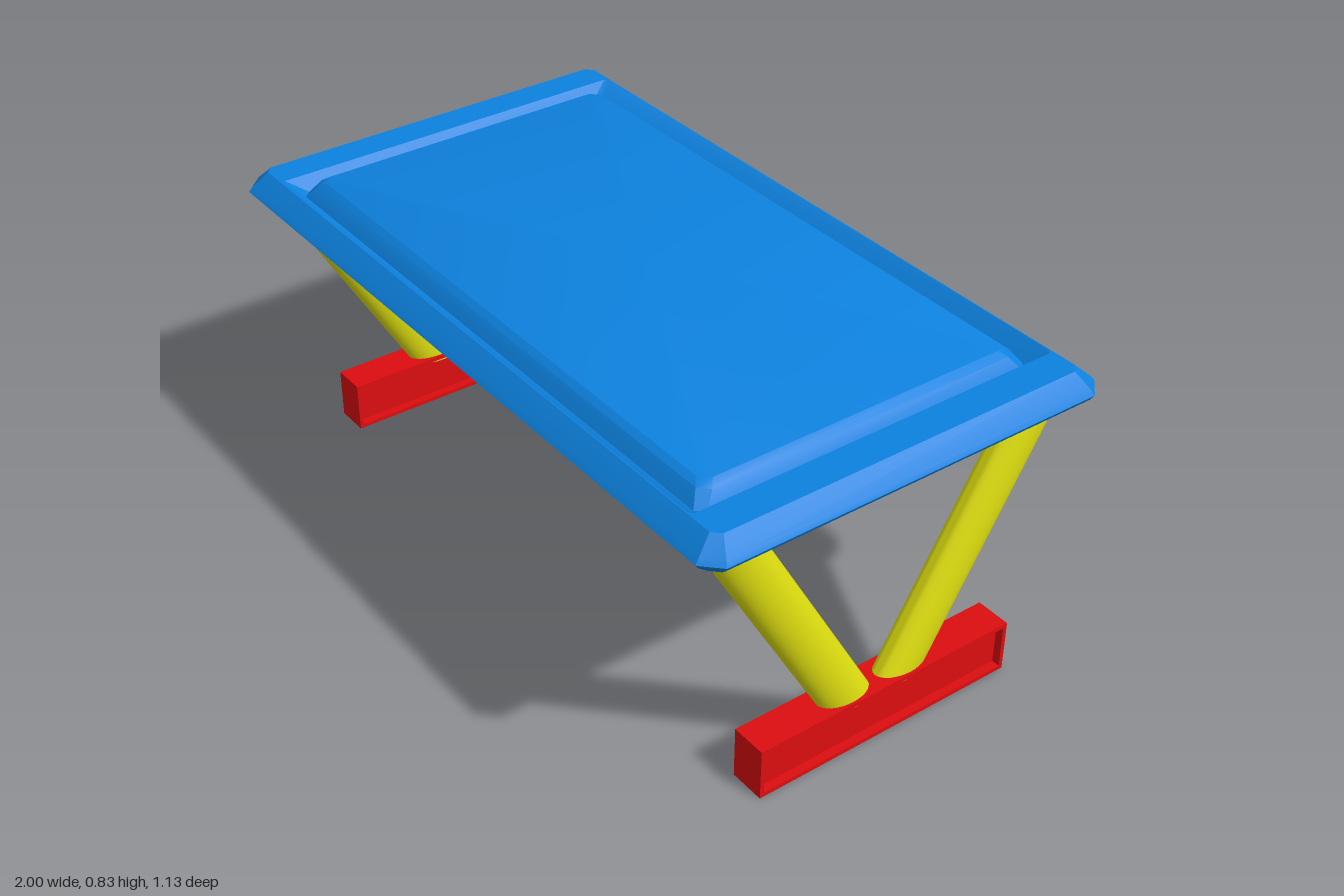
import * as THREE from 'three';
import { toCreasedNormals, mergeGeometries } from 'three/addons/utils/BufferGeometryUtils.js';

const blue = new THREE.MeshStandardMaterial({ color: 0x0d82df });
const yellow = new THREE.MeshStandardMaterial({ color: 0xdfdf10 });
const red = new THREE.MeshStandardMaterial({ color: 0xdd0d10 });

// Rectangle with cut corners, as a ring of eight points at height y
function cutRing([hx, hz, y, cut]) {
  return [
    [hx, hz - cut], [hx - cut, hz], [-hx + cut, hz], [-hx, hz - cut],
    [-hx, -hz + cut], [-hx + cut, -hz], [hx - cut, -hz], [hx, -hz + cut],
  ].map(([x, z]) => [x, y, z]);
}

// Skin stacked rings, listed from the bottom to the top centre
function loft(sections) {
  const rings = sections.map(cutRing);
  const pos = [];
  for (let i = 0; i < rings.length - 1; i++) {
    for (let k = 0; k < 8; k++) {
      const n = (k + 1) % 8;
      const a = rings[i][k], b = rings[i][n], c = rings[i + 1][k], d = rings[i + 1][n];
      if (i > 0) pos.push(...a, ...c, ...b);
      if (i < rings.length - 2) pos.push(...b, ...c, ...d);
    }
  }
  const geo = new THREE.BufferGeometry();
  geo.setAttribute('position', new THREE.Float32BufferAttribute(pos, 3));
  return toCreasedNormals(geo, 0.5);
}

// Oval strut leaning from the foot out to the underside of the top
function strutGeometry(side) {
  const y0 = 0.12, y1 = 0.75, lean = 0.34 / 0.585;
  const geo = new THREE.CylinderGeometry(1, 1, y1 - y0, 32);
  geo.scale(0.041, 1, 0.0745);
  geo.translate(0, (y0 + y1) / 2, 0);
  const p = geo.attributes.position;
  for (let i = 0; i < p.count; i++) {
    p.setZ(i, p.getZ(i) + side * (0.0875 + (p.getY(i) - 0.14) * lean));
  }
  return toCreasedNormals(geo, 0.7);
}

// Foot beam: a solid web with a raised frame on both long faces
function footGeometry() {
  const w = 0.095, h = 0.14, len = 0.75, t = 0.011, depth = 0.022;
  const parts = [new THREE.BoxGeometry(w - 2 * depth, h - 2 * t, len - 2 * t)];
  for (const s of [-1, 1]) {
    parts.push(new THREE.BoxGeometry(w, t, len).translate(0, s * (h - t) / 2, 0));
    parts.push(new THREE.BoxGeometry(w, h - 2 * t, t).translate(0, 0, s * (len - t) / 2));
  }
  return mergeGeometries(parts).translate(0, h / 2, -0.015);
}

export function createModel() {
  const model = new THREE.Group();
  const add = (parent, name, geo, mat) => {
    const mesh = new THREE.Mesh(geo, mat);
    mesh.name = name;
    parent.add(mesh);
  };

  // Tabletop: bevelled rim, groove and raised centre panel
  add(model, 'tabletop', loft([
    [0, 0, 0.725, 0],
    [0.955, 0.515, 0.725, 0.02],
    [0.992, 0.555, 0.762, 0.04],
    [1, 0.565, 0.775, 0.045],
    [0.992, 0.555, 0.788, 0.04],
    [0.955, 0.515, 0.825, 0.02],
    [0.868, 0.512, 0.825, 0.01],
    [0.842, 0.469, 0.788, 0.02],
    [0.822, 0.445, 0.822, 0.025],
    [0.803, 0.43, 0.835, 0.025],
    [0, 0, 0.835, 0],
  ]), blue);

  // A foot and two struts at each end
  for (const [s, label] of [[1, 'left'], [-1, 'right']]) {
    const stand = new THREE.Group();
    stand.name = label + 'Stand';
    stand.position.x = s * 0.896;
    add(stand, 'frontStrut', strutGeometry(1), yellow);
    add(stand, 'backStrut', strutGeometry(-1), yellow);
    add(stand, 'foot', footGeometry(), red);
    model.add(stand);
  }
  return model;
}
